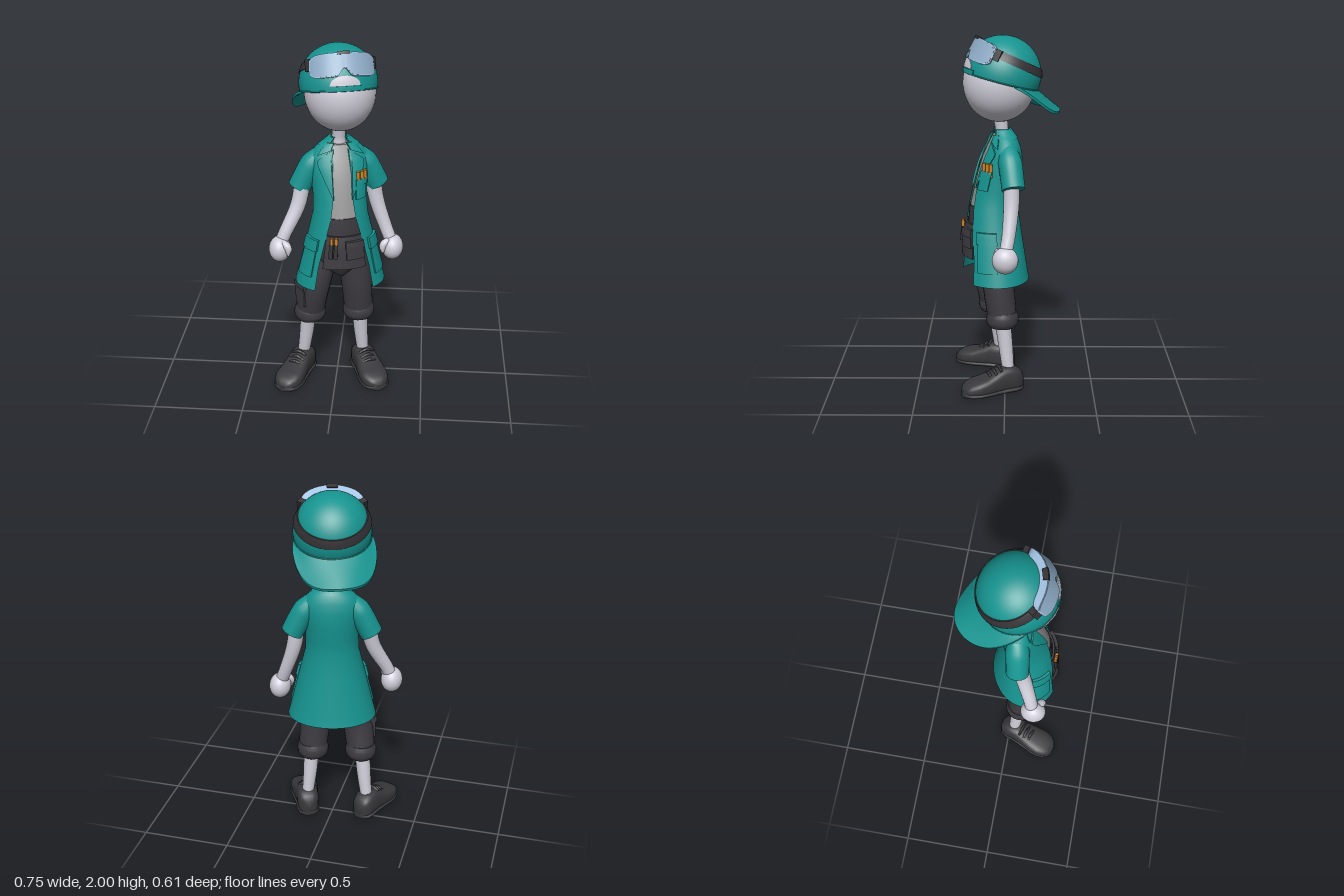
import * as THREE from 'three';
import { toCreasedNormals } from 'three/addons/utils/BufferGeometryUtils.js';

const { sin, cos, sqrt, abs, PI } = Math;
const V = (x, y, z) => new THREE.Vector3(x, y, z);

function makeMaterial(name, color, side = THREE.FrontSide) {
  const m = new THREE.MeshStandardMaterial({ color, side });
  m.name = name;
  return m;
}

// Skin a list of cross-section rings; ringOpen leaves each ring unjoined.
function loft(rings, { ringOpen = false, crease = 0 } = {}) {
  const n = rings[0].length, pos = [], index = [];
  rings.forEach(r => r.forEach(p => pos.push(p.x, p.y, p.z)));
  for (let i = 0; i < rings.length - 1; i++) {
    for (let j = 0; j < (ringOpen ? n - 1 : n); j++) {
      const a = i * n + j, b = i * n + (j + 1) % n;
      index.push(a, b, a + n, b, b + n, a + n);
    }
  }
  if (!ringOpen) {
    for (const end of [0, rings.length - 1]) {
      const c = rings[end].reduce((s, p) => s.add(p), V(0, 0, 0)).divideScalar(n);
      const k = pos.length / 3, base = end * n;
      pos.push(c.x, c.y, c.z);
      for (let j = 0; j < n; j++) {
        const a = base + j, b = base + (j + 1) % n;
        if (end) index.push(k, a, b); else index.push(k, b, a);
      }
    }
  }
  const g = new THREE.BufferGeometry();
  g.setAttribute('position', new THREE.Float32BufferAttribute(pos, 3));
  g.setIndex(index);
  g.computeVertexNormals();
  return crease ? toCreasedNormals(g, crease) : g;
}

// Round limb with changing radius along a smooth path.
function limb(points, radii, steps = 14, sides = 20) {
  const curve = new THREE.CatmullRomCurve3(points.map(p => V(...p)));
  const rings = [];
  for (let i = 0; i <= steps; i++) {
    const u = i / steps, f = u * (radii.length - 1), k = Math.min(Math.floor(f), radii.length - 2);
    const r = radii[k] + (radii[k + 1] - radii[k]) * (f - k);
    const T = curve.getTangent(u), p = curve.getPoint(u);
    const e2 = T.clone().cross(V(0, 0, 1)).normalize(), e1 = e2.clone().cross(T);
    rings.push(Array.from({ length: sides }, (_, j) => {
      const t = j / sides * 2 * PI;
      return p.clone().addScaledVector(e1, r * cos(t)).addScaledVector(e2, r * sin(t));
    }));
  }
  return loft(rings, { crease: 1 });
}

// Curved slab: u runs around the y axis, v runs from top to bottom.
function slab(outer, inner, n = 16, rows = 4) {
  const rings = [];
  for (let i = 0; i <= n; i++) {
    const ring = [];
    for (let k = 0; k <= rows; k++) ring.push(outer(i / n, k / rows));
    for (let k = rows; k >= 0; k--) ring.push(inner(i / n, k / rows));
    rings.push(ring);
  }
  return loft(rings, { crease: 0.8 });
}
const polar = (r, a, y) => V(r * sin(a), y, r * cos(a));

// Coat cross-sections: height, half width, half depth, centre z, opening angle
const COAT = [
  [0.645, 0.254, 0.196, 0.066, 0.7], [0.68, 0.245, 0.19, 0.067, 0.7], [0.78, 0.22, 0.178, 0.07, 0.7],
  [0.92, 0.186, 0.162, 0.075, 0.62], [1.06, 0.153, 0.138, 0.069, 0.47], [1.15, 0.149, 0.131, 0.054, 0.38],
  [1.25, 0.155, 0.125, 0.035, 0.36], [1.33, 0.163, 0.112, 0.02, 0.35], [1.39, 0.158, 0.092, 0.01, 0.34],
  [1.43, 0.12, 0.075, 0.008, 0.36], [1.46, 0.08, 0.058, 0.01, 0.5], [1.485, 0.052, 0.045, 0.016, 0.7],
];
function coatPoint(t, y, out = 0, k = 1) {
  let i = 0;
  while (i < COAT.length - 2 && y > COAT[i + 1][0]) i++;
  const p = COAT[i], q = COAT[i + 1], f = (y - p[0]) / (q[0] - p[0]);
  const [a, b, c] = [1, 2, 3].map(m => p[m] + (q[m] - p[m]) * f);
  return V((a * k + out) * sin(t), y, c + (b * k + out) * cos(t));
}
// Panel lying on the coat; side = -1 mirrors it. top and bottom may vary with u.
function coatPanel(side, t0, t1, top, bottom, out, k = 1) {
  const val = (h, u) => (typeof h === 'function' ? h(u) : h);
  const at = o => (i, v) => {
    const u = side > 0 ? i : 1 - i;
    return coatPoint(side * (t0 + (t1 - t0) * u), val(top, u) + (val(bottom, u) - val(top, u)) * v, o, k);
  };
  return slab(at(out), at(-0.004), 14, 6);
}

export function createModel() {
  const root = new THREE.Group();
  root.name = 'figure';
  const teal = makeMaterial('teal cloth', 0x169490, THREE.DoubleSide);
  const skin = makeMaterial('pale skin', 0xcfcdd8);
  const cloth = makeMaterial('charcoal trousers', 0x3d3b40);
  const shoeMat = makeMaterial('dark shoe', 0x39383c);
  const strapMat = makeMaterial('black strap', 0x343235);
  const shirtMat = makeMaterial('grey shirt', 0x969696);
  const frameMat = makeMaterial('pale blue frame', 0xa5c5e4);
  const lensMat = makeMaterial('blue lens', 0x8eabc6);
  const orange = makeMaterial('orange tool', 0xcf8528);
  const add = (parent, name, geo, mat) => {
    const m = new THREE.Mesh(geo, mat);
    m.name = name;
    parent.add(m);
    return m;
  };
  const group = (parent, name) => {
    const g = new THREE.Group();
    g.name = name;
    parent.add(g);
    return g;
  };

  // Head, turned towards its left
  const head = group(root, 'headGroup');
  head.position.set(0.005, 1.785, 0.015);
  head.rotation.y = 0.26;
  const skull = add(head, 'head', new THREE.SphereGeometry(1, 40, 28), skin);
  skull.scale.set(0.193, 0.213, 0.2);
  skull.position.set(0.006, -0.044, 0.019);

  // Backwards cap
  const cap = group(head, 'cap');
  cap.rotation.x = -0.26;
  add(cap, 'capDome', new THREE.SphereGeometry(0.212, 48, 24, 0, 2 * PI, 0, 1.736), teal);
  const hem = add(cap, 'capHem', new THREE.TorusGeometry(0.209, 0.004, 8, 48), teal);
  hem.rotation.x = PI / 2;
  hem.position.y = -0.035;
  const bill = lift => (u, w) => {
    const th = (u - 0.5) * PI, s = sin(th), c = cos(th);
    const drop = (0.075 * c + 0.035 * sin(2 * th) ** 2) * w;
    return V(-(0.2 + 0.06 * w * sqrt(c)) * s, -0.035 - drop + lift, -(0.2 + 0.172 * w) * c);
  };
  add(cap, 'capBill', slab(bill(0.005), bill(-0.009), 36, 6), teal).rotation.y = 0.12;
  const onDome = (half, top, bottom, r) => (u, v) => {
    const a = (u * 2 - 1) * half, hi = top(u * 2 - 1), lat = hi + (bottom - hi) * v;
    return polar(r * cos(lat), a, r * sin(lat));
  };
  const arch = e => -0.04 + 0.24 * sqrt(Math.max(0, 1 - e * e));
  add(cap, 'capOpening', slab(onDome(0.39, arch, -0.04, 0.216), onDome(0.39, arch, -0.04, 0.211), 24), skin);
  add(cap, 'capAdjuster', slab(onDome(0.5, () => -0.05, -0.165, 0.217), onDome(0.5, () => -0.05, -0.165, 0.21)), teal);

  // Goggles pushed up on the cap
  const goggles = group(head, 'goggles');
  goggles.rotation.x = -0.436;
  // margin insets the shape from the frame's edge
  const visor = (half, margin, radius) => (u, v) => {
    const e = u * 2 - 1, round = margin + 0.026 * e ** 8;
    const top = 0.127 - round, bottom = 0.002 + round + 0.045 * Math.exp(-((e / 0.13) ** 2));
    const y = top + (bottom - top) * v;
    return polar(radius(y), e * half, y);
  };
  const front = y => 0.224 - 0.08 * y, back = y => 0.198 - 0.21 * y;
  add(goggles, 'gogglesFrame', slab(visor(0.9, 0, front), visor(0.9, 0, back), 40, 6), frameMat);
  add(goggles, 'gogglesLens', slab(visor(0.87, 0.005, y => front(y) + 0.002), visor(0.87, 0.005, y => front(y) - 0.003), 40, 6), lensMat);
  const strap = out => (u, v) => {
    const y = 0.112 - 0.046 * v;
    return polar(sqrt(0.212 ** 2 - y * y) + out, 0.87 + u * (2 * PI - 1.74), y);
  };
  add(goggles, 'gogglesStrap', slab(strap(0.006), strap(-0.004), 48), strapMat);
  const block = (a0, a1, y1, y0, r0, r1) => slab(
    (u, v) => polar(r1, a0 + (a1 - a0) * u, y1 + (y0 - y1) * v),
    (u, v) => polar(r0, a0 + (a1 - a0) * u, y1 + (y0 - y1) * v), 6);
  add(goggles, 'gogglesClip', block(-0.15, 0.15, 0.133, 0.116, 0.19, 0.22), strapMat);
  for (const s of [-1, 1])
    add(goggles, 'strapHinge', block(s * 0.98 - 0.08, s * 0.98 + 0.08, 0.112, 0.05, 0.185, 0.216), strapMat);

  // Neck
  add(root, 'neck', limb([[0.008, 1.38, 0.012], [0.008, 1.48, 0.018], [0.01, 1.57, 0.03]], [0.045, 0.036, 0.04]), skin);

  // Torso: open coat over shirt and trousers
  const body = group(root, 'torso');
  body.position.x = 0.005;
  body.rotation.y = 0.22;
  const N = 56;
  add(body, 'coat', loft(COAT.map(([y, , , , gap]) => Array.from({ length: N + 1 }, (_, j) =>
    coatPoint(gap + (2 * PI - 2 * gap) * j / N, y))), { ringOpen: true }), teal);
  const full = (ys, k) => loft(ys.map(y => Array.from({ length: 40 }, (_, j) =>
    coatPoint(j / 40 * 2 * PI, y, 0, k))), { crease: 0.9 });
  add(body, 'shirt', full([1.04, 1.15, 1.25, 1.33, 1.39, 1.43, 1.45], 0.92), shirtMat);
  const hips = [[0.68, 0.03, 0.06, 0.065], [0.72, 0.09, 0.09, 0.065], [0.79, 0.145, 0.118, 0.068],
    [0.92, 0.165, 0.14, 0.072], [1.065, 0.146, 0.131, 0.068]];
  add(body, 'hips', loft(hips.map(([y, a, b, c]) => Array.from({ length: 40 }, (_, j) =>
    V(a * sin(j / 20 * PI), y, c + b * cos(j / 20 * PI)))), { crease: 0.9 }), cloth);

  add(body, 'collar', coatPanel(1, 0.65, 2 * PI - 0.65, 1.488, 1.44, 0.007), teal);
  for (const s of [-1, 1]) {
    add(body, 'lapel', coatPanel(s, 0.34, 0.85, u => 1.43 - 0.06 * u, u => 1.17 + 0.18 * u, 0.008), teal);
    add(body, 'collarPoint', coatPanel(s, 0.42, 0.9, 1.46, u => 1.425 - 0.03 * u, 0.011), teal);
    add(body, 'hipPocket', coatPanel(s, 0.86, 1.45, 0.9, 0.72, 0.008), teal);
    add(body, 'pocketFlap', coatPanel(s, 0.82, 1.49, 0.94, 0.875, 0.015), teal);
    add(body, 'sleeve', limb([[s * 0.09, 1.385, 0.008], [s * 0.148, 1.325, 0.005], [s * 0.22, 1.19, 0.002]],
      [0.05, 0.066, 0.064]), teal);
  }
  add(body, 'chestPocket', coatPanel(1, 0.49, 0.98, 1.265, 1.165, 0.009), teal);
  add(body, 'chestPocketFlap', coatPanel(1, 0.47, 1, 1.272, 1.24, 0.014), teal);
  const tool = (name, t, y, h, r, out, k) => {
    add(body, name, new THREE.CylinderGeometry(r, r, h, 10), orange).position.copy(coatPoint(t, y, out, k));
  };
  for (const t of [0.57, 0.74, 0.91]) tool('pencil', t, 1.278, 0.075, 0.01, 0.007, 1);

  // Tool apron
  add(body, 'apron', coatPanel(1, -0.6, 0.62, 0.97, 0.78, 0.008, 0.93), cloth);
  add(body, 'apronPouch', coatPanel(1, 0.05, 0.58, 0.92, 0.84, 0.02, 0.93), cloth);
  add(body, 'pouchFlap', coatPanel(1, 0.03, 0.6, 0.945, 0.9, 0.026, 0.93), cloth);
  for (const t of [-0.39, -0.25]) {
    add(body, 'toolHolder', coatPanel(1, t - 0.055, t + 0.055, 0.93, 0.85, 0.024, 0.93), strapMat);
    tool('toolHandle', t, 0.938, 0.06, 0.009, 0.016, 0.93);
  }

  // Arms and fists
  const arms = [
    { side: 'right', path: [[-0.185, 1.26, 0.055], [-0.212, 1.1, 0.085], [-0.28, 0.95, 0.135], [-0.305, 0.89, 0.15]], hand: [-0.31, 0.858, 0.157], s: -1 },
    { side: 'left', path: [[0.19, 1.26, -0.035], [0.214, 1.1, -0.035], [0.268, 0.94, -0.02], [0.3, 0.86, -0.005]], hand: [0.311, 0.818, -0.002], s: 1 },
  ];
  for (const { side, path, hand: [x, y, z], s } of arms) {
    add(root, side + 'Arm', limb(path, [0.046, 0.043, 0.037, 0.036]), skin);
    const fist = add(root, side + 'Fist', new THREE.SphereGeometry(1, 24, 18), skin);
    fist.scale.set(0.062, 0.074, 0.072);
    fist.position.set(x, y, z);
    add(root, side + 'Thumb', limb([[x - s * 0.02, y + 0.05, z + 0.025], [x - s * 0.05, y + 0.025, z + 0.042],
      [x - s * 0.052, y - 0.02, z + 0.052]], [0.018, 0.024, 0.02, 0.006], 10, 12), skin);
  }

  // Legs, rolled cuffs and shoes
  const shoeStations = [
    [-0.08, 0.03, 0.1], [-0.062, 0.054, 0.125], [-0.02, 0.064, 0.145], [0.04, 0.065, 0.148], [0.09, 0.07, 0.125],
    [0.15, 0.079, 0.1], [0.2, 0.081, 0.09], [0.24, 0.07, 0.077], [0.265, 0.05, 0.062], [0.28, 0.022, 0.045],
  ];
  const shoeRings = (grow, height) => shoeStations.map(([z, w, h]) => Array.from({ length: 28 }, (_, j) => {
    const t = j / 14 * PI, sq = v => Math.sign(v) * abs(v) ** 0.65;
    return V((w + grow) * sq(sin(t)), (height || h) * (1 - sq(cos(t))) / 2, z * (1 + grow));
  }));
  const legs = [
    { side: 'right', path: [[-0.07, 0.82, 0.07], [-0.125, 0.6, 0.09], [-0.155, 0.42, 0.065]], ankle: [-0.202, 0.1, 0.03], yaw: -0.34 },
    { side: 'left', path: [[0.09, 0.82, 0.045], [0.112, 0.6, 0.035], [0.123, 0.42, 0.015]], ankle: [0.15, 0.1, -0.02], yaw: 0.4 },
  ];
  for (const { side, path, ankle, yaw } of legs) {
    const [x, y, z] = path[2];
    add(root, side + 'TrouserLeg', limb(path, [0.088, 0.088, 0.082]), cloth);
    add(root, side + 'Cuff', limb([[x, y + 0.045, z], [x, y, z], [x, y - 0.042, z]], [0.08, 0.089, 0.092, 0.09, 0.078], 12), cloth);
    add(root, side + 'Calf', limb([[x + Math.sign(x) * 0.008, y, z], [(x + ankle[0]) / 2, 0.27, (z + ankle[2]) / 2], ankle], [0.046, 0.041, 0.033]), skin);
    const shoe = group(root, side + 'Shoe');
    shoe.position.set(ankle[0], 0, ankle[2]);
    shoe.rotation.y = yaw;
    add(shoe, 'shoeUpper', loft(shoeRings(0, 0), { crease: 1.2 }), shoeMat);
    add(shoe, 'shoeSole', loft(shoeRings(0.004, 0.032), { crease: 1 }), shoeMat);
    for (const s of [0.06, 0.09, 0.12])
      add(shoe, 'shoelace', limb([[-0.045, 0.165 - s * 0.55, s], [0, 0.182 - s * 0.55, s], [0.045, 0.165 - s * 0.55, s]], [0.007, 0.009, 0.007], 8, 8), shoeMat);
  }

  // Cargo pocket on the right leg
  const cargo = group(root, 'cargoPocket');
  cargo.position.set(-0.19, 0.56, 0.12);
  cargo.rotation.y = -0.9;
  add(cargo, 'cargoBag', new THREE.BoxGeometry(0.09, 0.13, 0.04), cloth);
  add(cargo, 'cargoFlap', new THREE.BoxGeometry(0.1, 0.035, 0.05), cloth).position.y = 0.055;

  return root;
}
